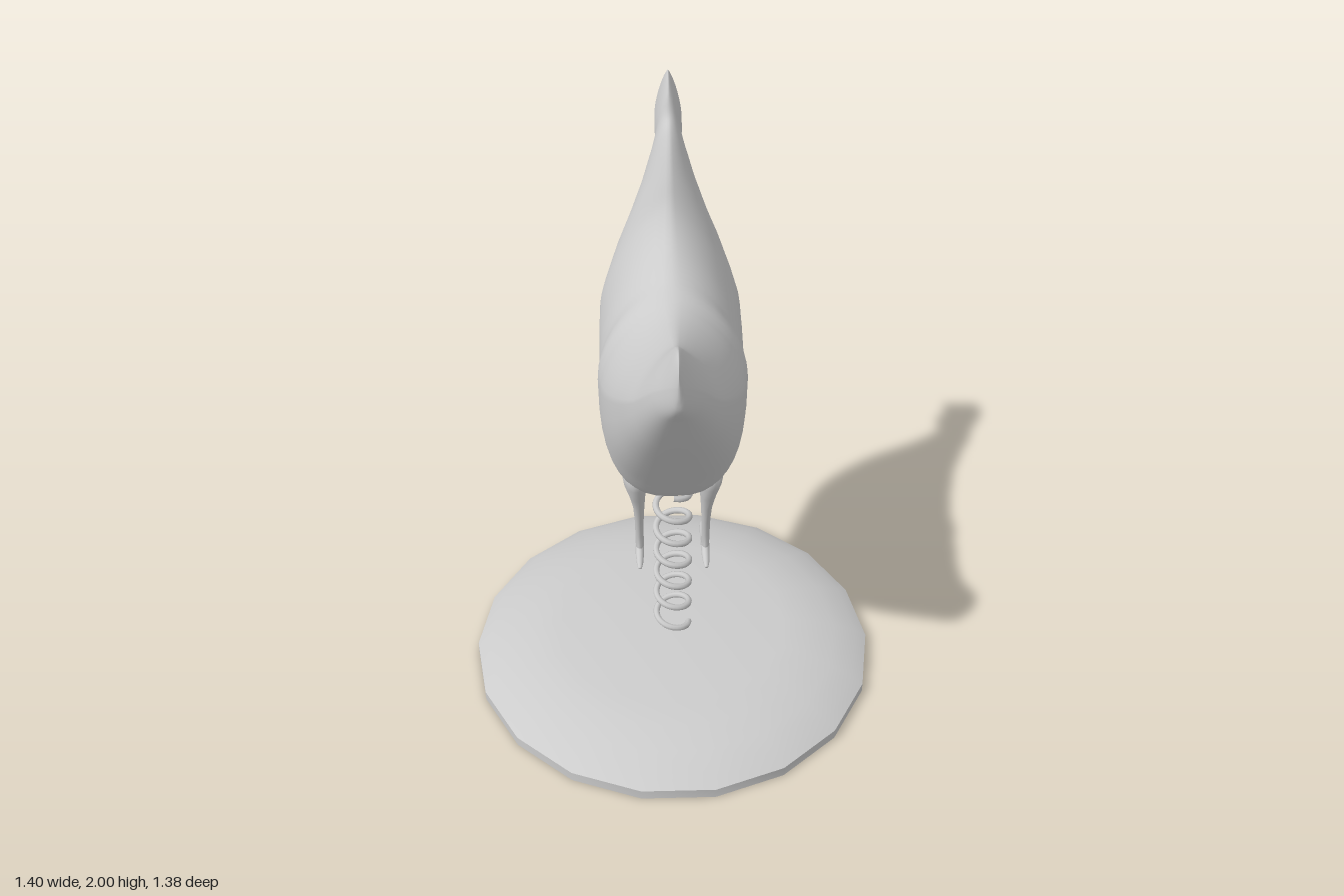
import * as THREE from 'three';
import { toCreasedNormals } from 'three/addons/utils/BufferGeometryUtils.js';

const material = new THREE.MeshStandardMaterial({ color: 0xcccccc });

function addMesh(parent, name, geometry) {
  const mesh = new THREE.Mesh(geometry, material);
  mesh.name = name;
  parent.add(mesh);
  return mesh;
}

// Skin a list of closed rings (each a list of Vector3) and cap both ends
function loft(rings) {
  const n = rings[0].length;
  const positions = [];
  const index = [];
  for (const ring of rings) for (const p of ring) positions.push(p.x, p.y, p.z);
  for (let i = 0; i < rings.length - 1; i++) {
    for (let j = 0; j < n; j++) {
      const k = (j + 1) % n;
      const a = i * n + j, b = i * n + k;
      index.push(a, a + n, b, b, a + n, b + n);
    }
  }
  const cap = (i, flip) => {
    const center = new THREE.Vector3();
    rings[i].forEach((p) => center.addScaledVector(p, 1 / n));
    const c = positions.length / 3;
    positions.push(center.x, center.y, center.z);
    for (let j = 0; j < n; j++) {
      const a = i * n + j, b = i * n + (j + 1) % n;
      index.push(c, flip ? b : a, flip ? a : b);
    }
  };
  cap(0, false);
  cap(rings.length - 1, true);
  const geometry = new THREE.BufferGeometry();
  geometry.setAttribute('position', new THREE.Float32BufferAttribute(positions, 3));
  geometry.setIndex(index);
  geometry.computeVertexNormals();
  return geometry;
}

const power = (v, e) => Math.sign(v) * Math.abs(v) ** e;

// Body from tail to beak: [lower z, lower y, upper z, upper y, half width, height of widest point, upper roundness]
const stations = [
  [0.583, 1.52, 0.58, 1.6, 0.004, 0.45, 1.4],
  [0.575, 1.47, 0.54, 1.64, 0.028, 0.4, 1.4],
  [0.53, 1.4, 0.46, 1.61, 0.07, 0.4, 1.4],
  [0.42, 1.23, 0.36, 1.55, 0.125, 0.45, 1.4],
  [0.3, 1.06, 0.24, 1.51, 0.175, 0.5, 1.5],
  [0.18, 0.9, 0.13, 1.49, 0.215, 0.55, 1.6],
  [0.08, 0.77, 0.05, 1.49, 0.23, 0.6, 1.7],
  [-0.03, 0.72, -0.05, 1.51, 0.23, 0.6, 1.7],
  [-0.15, 0.83, -0.13, 1.55, 0.23, 0.55, 1.6],
  [-0.27, 0.97, -0.2, 1.6, 0.23, 0.45, 1.5],
  [-0.37, 1.09, -0.25, 1.66, 0.22, 0.38, 1.4],
  [-0.43, 1.24, -0.29, 1.74, 0.18, 0.32, 1.4],
  [-0.46, 1.38, -0.33, 1.81, 0.125, 0.3, 1.5],
  [-0.46, 1.55, -0.37, 1.86, 0.075, 0.35, 1.7],
  [-0.47, 1.67, -0.41, 1.89, 0.046, 0.45, 1.9],
  [-0.49, 1.74, -0.44, 1.95, 0.043, 0.4, 1.5],
  [-0.53, 1.765, -0.49, 2.0, 0.042, 0.4, 1.3],
  [-0.57, 1.79, -0.56, 1.96, 0.036, 0.4, 1.4],
  [-0.61, 1.79, -0.6, 1.88, 0.026, 0.45, 1.7],
  [-0.65, 1.775, -0.64, 1.8, 0.006, 0.5, 2],
];

function bodyGeometry() {
  const curve = (pick) =>
    new THREE.CatmullRomCurve3(stations.map((s) => new THREE.Vector3(...pick(s))));
  const lower = curve((s) => [0, s[1], s[0]]);
  const upper = curve((s) => [0, s[3], s[2]]);
  const shape = curve((s) => [s[4], s[5], s[6]]);
  const rings = [];
  const steps = 76, sides = 40;
  for (let i = 0; i <= steps; i++) {
    const low = lower.getPoint(i / steps);
    const high = upper.getPoint(i / steps);
    const { x: width, y: middle, z: round } = shape.getPoint(i / steps);
    const ring = [];
    for (let j = 0; j < sides; j++) {
      const a = (j / sides) * Math.PI * 2;
      const e = 2 / (j < sides / 2 ? round : 2.6);
      const v = power(Math.sin(a), e);
      const t = v < 0 ? middle * (1 + v) : middle + (1 - middle) * v;
      const p = low.clone().lerp(high, t);
      p.x = width * power(Math.cos(a), e);
      ring.push(p);
    }
    rings.push(ring);
  }
  return loft(rings);
}

// Elliptical limb; sections are [x, y, z, radius x, other radius], upright or lying along z
function limbGeometry(sections, upright) {
  const sides = 14;
  return loft(sections.map(([x, y, z, rx, r]) =>
    Array.from({ length: sides }, (_, j) => {
      const a = (j / sides) * Math.PI * 2;
      const s = Math.sin(a) * r;
      return new THREE.Vector3(x + Math.cos(a) * rx, upright ? y : y + s, upright ? z - s : z);
    })));
}

export function createModel() {
  const model = new THREE.Group();
  model.name = 'henSpringRider';

  // Eighteen-sided domed base
  const profile = [[0, 0], [0.7, 0], [0.7, 0.035], [0.66, 0.06], [0.58, 0.09],
    [0.49, 0.115], [0.4, 0.127], [0, 0.127]].map(([r, y]) => new THREE.Vector2(r, y));
  const base = new THREE.LatheGeometry(profile, 18, Math.PI / 2);
  addMesh(model, 'base', toCreasedNormals(base, 0.6));

  // Coil spring
  const turns = 6.25;
  const coil = Array.from({ length: 101 }, (_, i) => {
    const a = (i / 100) * turns * Math.PI * 2;
    return new THREE.Vector3(0.057 * Math.cos(a), 0.125 + 0.615 * (i / 100), 0.057 * Math.sin(a));
  });
  addMesh(model, 'spring',
    new THREE.TubeGeometry(new THREE.CatmullRomCurve3(coil), 200, 0.011, 8));

  // Hen: body with neck, head and tail in one skin
  const hen = new THREE.Group();
  hen.name = 'hen';
  model.add(hen);
  addMesh(hen, 'body', bodyGeometry());

  const wattle = addMesh(hen, 'wattle', new THREE.SphereGeometry(1, 20, 14));
  wattle.scale.set(0.028, 0.042, 0.042);
  wattle.position.set(0, 1.752, -0.532);

  // Legs and feet, one pair per side
  for (const side of [-1, 1]) {
    const name = side > 0 ? 'left' : 'right';
    const x = side * 0.113;
    addMesh(hen, name + 'Leg', limbGeometry([
      [side * 0.125, 0.86, 0.01, 0.05, 0.085],
      [side * 0.122, 0.79, 0.015, 0.042, 0.07],
      [side * 0.118, 0.73, 0.018, 0.027, 0.042],
      [side * 0.114, 0.67, 0.01, 0.019, 0.028],
      [x, 0.6, 0, 0.015, 0.02],
      [x, 0.53, -0.012, 0.014, 0.019],
      [x, 0.485, -0.022, 0.014, 0.028],
      [x, 0.455, -0.03, 0.012, 0.045],
    ], true));
    addMesh(hen, name + 'Foot', limbGeometry([
      [x, 0.462, 0.088, 0.006, 0.004],
      [x, 0.46, 0.06, 0.011, 0.011],
      [x, 0.461, 0.02, 0.014, 0.015],
      [x, 0.465, -0.025, 0.015, 0.024],
      [x, 0.455, -0.075, 0.015, 0.02],
      [x, 0.443, -0.13, 0.014, 0.013],
      [x, 0.433, -0.175, 0.011, 0.007],
      [x, 0.43, -0.19, 0.006, 0.003],
    ], false));
  }
  return model;
}
